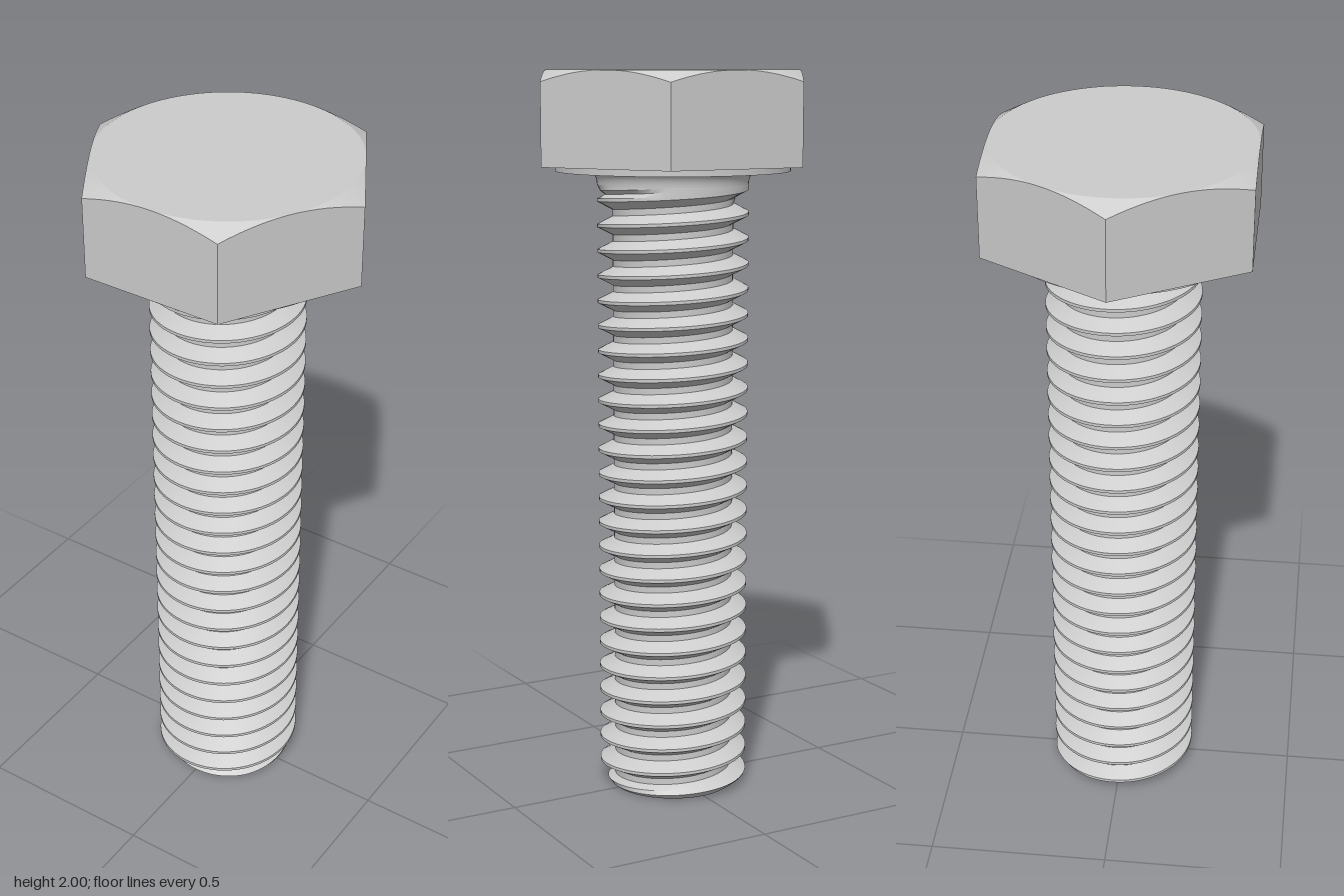
import * as THREE from 'three';
import { toCreasedNormals } from 'three/addons/utils/BufferGeometryUtils.js';

const PITCH = 0.069, CREST = 0.207, DEPTH = 0.042; // thread
const FLAT = 0.343, HEAD_BASE = 1.748, TOP = 2;    // hexagonal head
const NECK_Y = 1.695, SEAT_Y = 1.73;

const clamp = THREE.MathUtils.clamp;
const material = new THREE.MeshStandardMaterial({ color: 0xcccccc });

// Closed ring surface: point(row, angle) gives [radius, y], rows running from bottom to top
function ringSurface(rowCount, segments, point) {
  const at = (row, s) => {
    const angle = (s / segments) * Math.PI * 2;
    const [r, y] = point(row, angle);
    return new THREE.Vector3(r * Math.cos(angle), y, -r * Math.sin(angle));
  };
  const positions = [];
  const tri = new THREE.Triangle();
  const add = (a, b, c) => {
    if (tri.set(a, b, c).getArea() < 1e-9) return;
    for (const v of [a, b, c]) positions.push(v.x, v.y, v.z);
  };
  for (let row = 0; row < rowCount - 1; row++) {
    for (let s = 0; s < segments; s++) {
      const a = at(row, s), b = at(row, s + 1), c = at(row + 1, s + 1), d = at(row + 1, s);
      add(a, b, c);
      add(a, c, d);
    }
  }
  const geometry = new THREE.BufferGeometry();
  geometry.setAttribute('position', new THREE.Float32BufferAttribute(positions, 3));
  return toCreasedNormals(geometry, 0.4);
}

function part(name, geometry) {
  const mesh = new THREE.Mesh(geometry, material);
  mesh.name = name;
  return mesh;
}

// Right-hand V thread with flat crests and roots, chamfered tip and run-out at the neck
function threadedShank() {
  const ridge = (angle) => 0.035 + PITCH * (angle / (Math.PI * 2) - 0.5);
  const radius = (y, angle) => {
    const u = (y - ridge(angle)) / PITCH;
    const v = Math.abs(u - Math.round(u));
    const thread = CREST - DEPTH * clamp((v - 0.0625) / 0.3125, 0, 1);
    const runOut = CREST - Math.max(0, NECK_Y - 0.012 - y) * 1.5;
    return Math.min(Math.max(thread, runOut), 0.176 + y * 1.2);
  };
  const steps = [-0.0625, 0.0625, 0.22, 0.375, 0.625, 0.78];
  const rows = [];
  for (let turn = -2; turn < 27; turn++) for (const s of steps) rows.push((turn + s) * PITCH);
  return ringSurface(rows.length + 1, 72, (row, angle) => {
    if (row === 0) return [0, 0];
    const y = clamp(ridge(angle) + rows[row - 1], 0, NECK_Y);
    return [radius(y, angle), y];
  });
}

// Hexagonal prism whose top corners are cut by a 30 degree cone
function hexHead() {
  return ringSurface(5, 96, (row, angle) => {
    const sector = (angle % (Math.PI / 3)) - Math.PI / 6;
    const hex = FLAT / Math.cos(sector);
    return [
      [0, HEAD_BASE],
      [hex, HEAD_BASE],
      [hex, TOP - (hex - FLAT) * Math.tan(Math.PI / 6)],
      [FLAT, TOP],
      [0, TOP],
    ][row];
  });
}

// Fillet between the shank and the head
function neckFillet() {
  const points = [];
  for (let i = 0; i <= 8; i++) {
    const t = (i / 8) * Math.PI / 2;
    points.push(new THREE.Vector2(
      CREST + 0.022 * (1 - Math.cos(t)),
      NECK_Y + (SEAT_Y - NECK_Y) * Math.sin(t)));
  }
  return new THREE.LatheGeometry(points, 72);
}

export function createModel() {
  const bolt = new THREE.Group();
  bolt.name = 'hexBolt';

  const washerFace = part('washerFace',
    new THREE.CylinderGeometry(0.32, 0.32, HEAD_BASE - SEAT_Y, 96));
  washerFace.position.y = (HEAD_BASE + SEAT_Y) / 2;

  bolt.add(
    part('threadedShank', threadedShank()),
    part('neckFillet', neckFillet()),
    washerFace,
    part('hexHead', hexHead()));
  return bolt;
}
